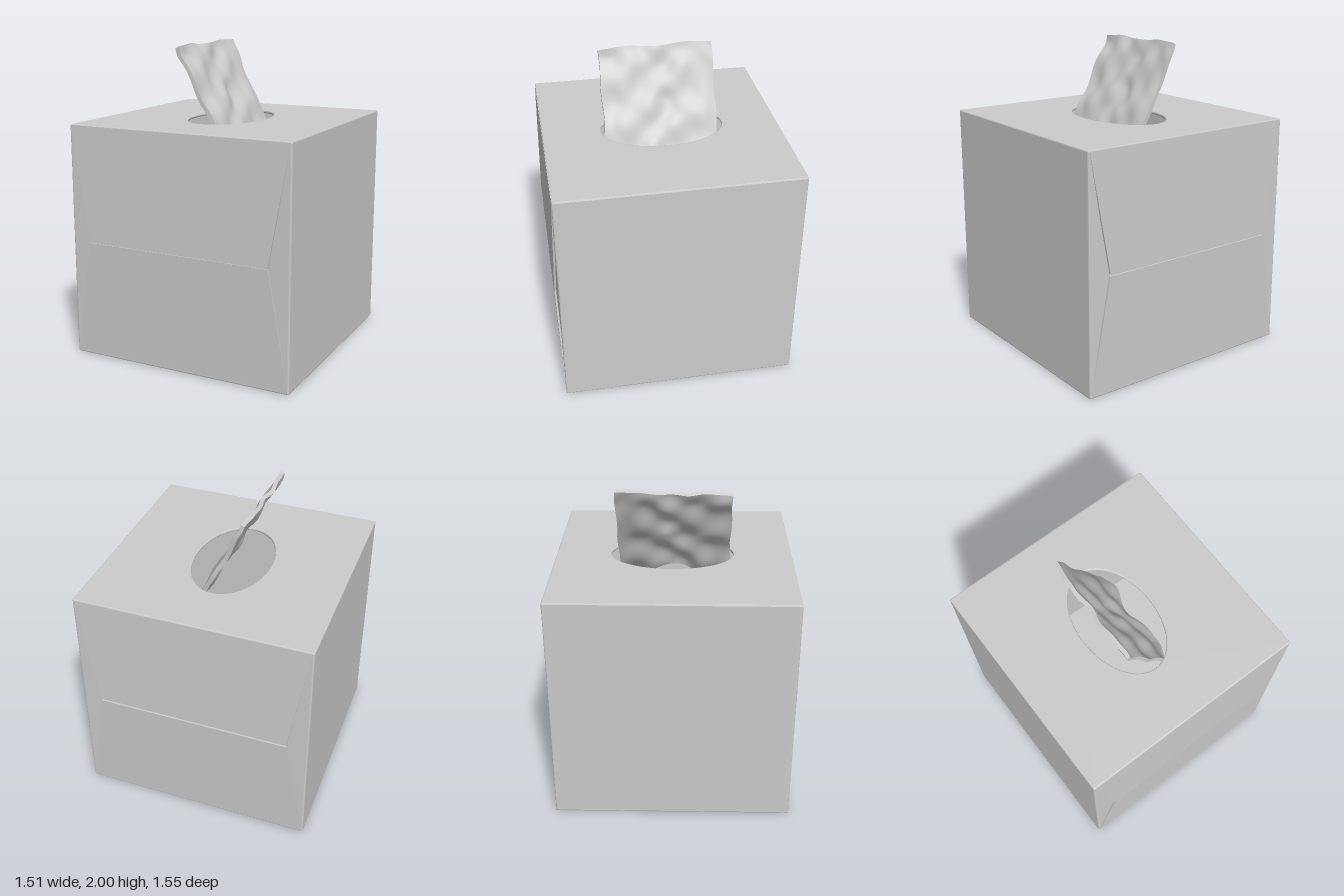
import * as THREE from 'three';

const HALF = 0.755, HEIGHT = 1.51, WALL = 0.012;

function mesh(name, geometry) {
  const m = new THREE.Mesh(geometry, new THREE.MeshStandardMaterial({ color: 0xcccccc }));
  m.name = name;
  return m;
}

// Square outline with slightly rounded corners
function square(h, r, Type = THREE.Shape) {
  const s = new Type();
  s.moveTo(-h + r, -h).lineTo(h - r, -h).quadraticCurveTo(h, -h, h, -h + r)
    .lineTo(h, h - r).quadraticCurveTo(h, h, h - r, h)
    .lineTo(-h + r, h).quadraticCurveTo(-h, h, -h, h - r)
    .lineTo(-h, -h + r).quadraticCurveTo(-h, -h, -h + r, -h);
  return s;
}

// Horizontal panel with softened edges, spanning y0 to y0 + 0.02
function panel(name, y0, hole) {
  const b = 0.008;
  const shape = square(HALF, 0.012);
  if (hole) shape.holes.push(hole);
  const g = new THREE.ExtrudeGeometry(shape, {
    depth: 0.02 - 2 * b, bevelThickness: b, bevelSize: b, bevelOffset: -b, bevelSegments: 2, curveSegments: 48,
  });
  g.rotateX(-Math.PI / 2).translate(0, y0 + b, 0);
  return mesh(name, g);
}

// Folded end flap: a trapezoid that lifts away from the box towards its free edge
function flap(name, gap) {
  const length = 0.742 - gap;
  const shape = new THREE.Shape([[-0.745, 0], [-0.62, -length], [0.62, -length], [0.745, 0]]
    .map(([x, y]) => new THREE.Vector2(x, y)));
  const g = new THREE.ExtrudeGeometry(shape, { depth: WALL, bevelEnabled: false });
  const p = g.attributes.position;
  for (let i = 0; i < p.count; i++) p.setZ(i, p.getZ(i) + 0.744 - 0.019 * p.getY(i) / length);
  g.computeVertexNormals();
  return mesh(name, g);
}

// Upper and lower flap meeting at mid height
function flapPair(side, gap) {
  const pair = new THREE.Group();
  pair.name = side + 'Flaps';
  const upper = flap(side + 'UpperFlap', gap);
  upper.position.y = 1.504;
  // The lower flap is the upper one turned over, with its lift kept outward
  const lower = flap(side + 'LowerFlap', gap);
  const p = lower.geometry.attributes.position;
  for (let i = 0; i < p.count; i++) p.setXYZ(i, -p.getX(i), -p.getY(i), p.getZ(i));
  lower.geometry.computeVertexNormals();
  lower.position.y = 0.02;
  pair.add(upper, lower);
  return pair;
}

// Leaning sheet of tissue with soft wrinkles
function tissue() {
  const lean = new THREE.CatmullRomCurve3([[0.125, 1.34], [0.035, 1.51], [-0.045, 1.66], [-0.14, 1.83], [-0.205, 1.965]]
    .map(([x, y]) => new THREE.Vector3(x, y, 0)));
  const g = new THREE.BoxGeometry(0.026, 1, 0.72, 2, 56, 56);
  const p = g.attributes.position, c = new THREE.Vector3();
  for (let i = 0; i < p.count; i++) {
    const t = p.getY(i) + 0.5, z = p.getZ(i);
    lean.getPoint(t, c);
    const wrinkle = 0.008 * Math.sin(15 * t + 4 * Math.sin(5 * z)) +
      0.007 * Math.sin(17 * z + 5 * t) * Math.cos(9 * t - 1) +
      0.006 * Math.sin(31 * z - 8 * t) * Math.sin(11 * t + 6 * z) -
      0.014 * Math.exp(-(((z + 0.05) / 0.06) ** 2) - (((t - 0.52) / 0.07) ** 2));
    const off = p.getX(i) + wrinkle;
    // Uneven top edge, raised at the back corner
    const back = Math.max(0, -z - 0.15) / 0.21;
    const edge = t ** 6 * (0.008 * Math.cos(17 * z - 3) + 0.018 * back);
    const hem = (1 - t) ** 3 * 0.028 * Math.cos(15 * z - 2.8);
    p.setXYZ(i, c.x + 0.87 * off + hem + 0.025 * t * t * back, c.y + 0.49 * off + edge - hem * 1.5,
      z * 1.0 + 0.004 * Math.sin(13 * t));
  }
  g.computeVertexNormals();
  g.computeBoundingBox();
  g.translate(0, 2 - g.boundingBox.max.y, 0);
  const m = mesh('tissue', g);
  m.material.side = THREE.DoubleSide;
  return m;
}

export function createModel() {
  const model = new THREE.Group();
  model.name = 'tissueBox';

  // Hollow carton: walls, floor and lid with an oval opening
  const ring = square(HALF, 0.012);
  ring.holes.push(square(HALF - WALL, 0.004, THREE.Path));
  const walls = new THREE.ExtrudeGeometry(ring, { depth: HEIGHT - 0.02, bevelEnabled: false, curveSegments: 4 });
  walls.rotateX(-Math.PI / 2).translate(0, 0.01, 0);
  const opening = new THREE.Path();
  opening.absellipse(-0.008, 0.01, 0.247, 0.392, 0, Math.PI * 2, true);
  model.add(mesh('walls', walls), panel('floor', 0), panel('lid', HEIGHT - 0.02, opening));

  // Glued flaps on the front and back
  const back = flapPair('back', 0.008);
  back.rotation.y = Math.PI;
  model.add(flapPair('front', 0.001), back);

  model.add(tissue());
  return model;
}
